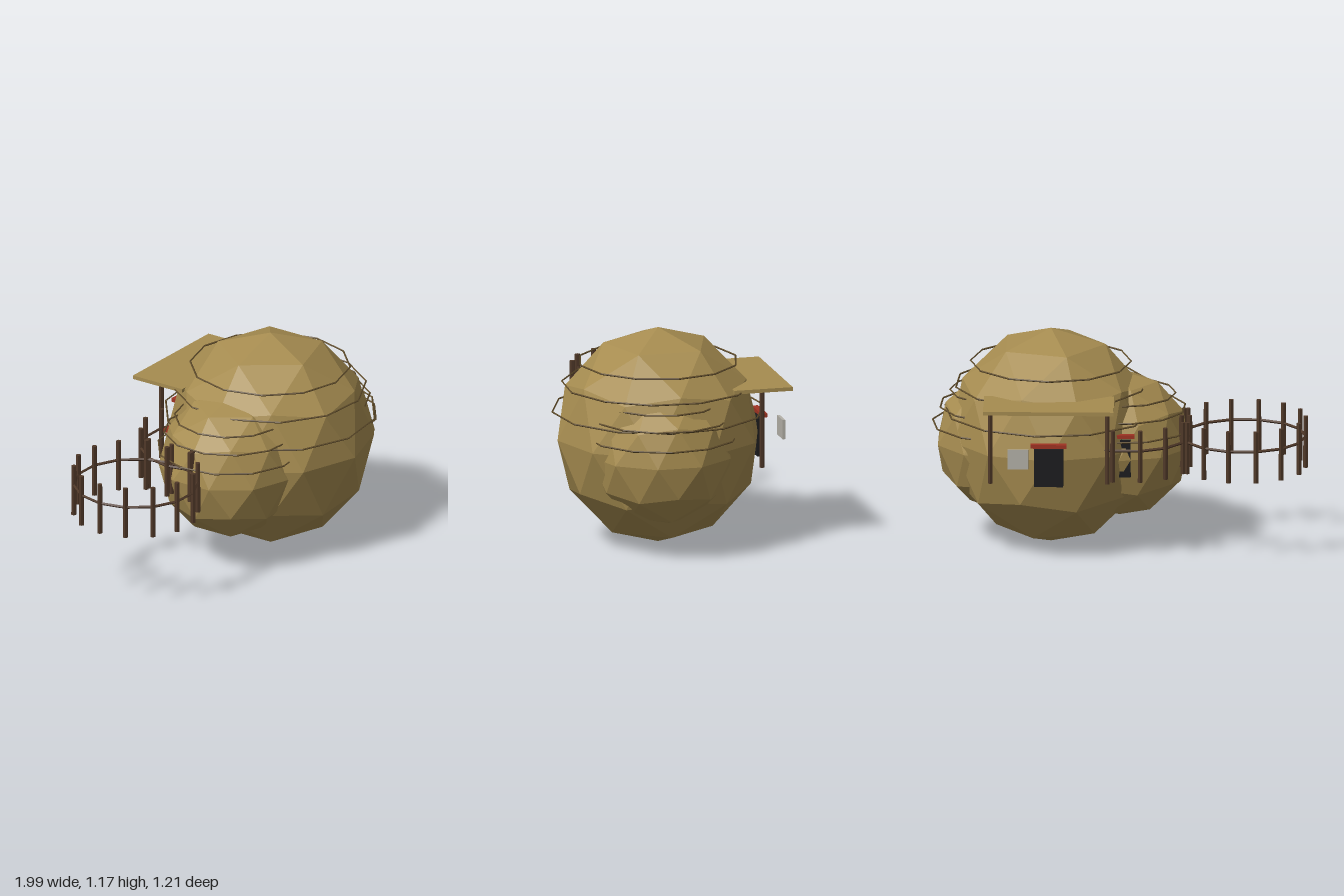
import * as THREE from 'three';

const mat = (name, color) => {
  const m = new THREE.MeshStandardMaterial({ color, flatShading: true });
  m.name = name;
  return m;
};

export function createModel() {
  const straw = mat('straw', 0xa68c50);
  const rope = mat('rope', 0x5e4b2a);
  const wood = mat('dark wood', 0x4f3828);
  const black = mat('door black', 0x1c1c1e);
  const red = mat('lintel red', 0xa03322);
  const grey = mat('sign grey', 0xb4b1a8);

  const model = new THREE.Group();
  model.name = 'thatchedHut';

  const add = (name, geometry, material, x, y, z, parent = model) => {
    const mesh = new THREE.Mesh(geometry, material);
    mesh.name = name;
    mesh.position.set(x, y, z);
    parent.add(mesh);
    return mesh;
  };
  const box = (name, material, w, h, d, x, y, z) =>
    add(name, new THREE.BoxGeometry(w, h, d), material, x, y, z);
  const ring = (name, radius, tube, sides, material, x, y, z, parent) =>
    add(name, new THREE.TorusGeometry(radius, tube, 4, sides).rotateX(Math.PI / 2), material, x, y, z, parent);

  // Faceted domes, each standing on one corner, with rope hoops [height, radius]
  const domes = [
    { name: 'mainDome', c: [0.365, 0.583, 0.04], r: 0.55, h: 0.583,
      hoops: [[0.985, 0.425], [0.865, 0.51], [0.723, 0.565]] },
    { name: 'rightDome', c: [0, 0.54, 0.04], r: 0.378, h: 0.393,
      hoops: [[0.815, 0.295], [0.735, 0.35], [0.64, 0.388]] },
    { name: 'leftDome', c: [0.59, 0.54, 0.08], r: 0.39, h: 0.39,
      hoops: [[0.815, 0.31], [0.735, 0.367], [0.637, 0.405]] },
  ];
  for (const { name, c, r, h, hoops } of domes) {
    const geo = new THREE.IcosahedronGeometry(1, 1)
      .rotateZ(Math.atan2(2, 1 + Math.sqrt(5)))
      .scale(r, h, r);
    add(name, geo, straw, ...c);
    hoops.forEach(([y, radius], i) => {
      const hoop = ring(name + 'Hoop', radius, 0.005, 12, rope, c[0], y, c[2]);
      hoop.rotation.y = i * 0.2;
    });
  }

  // Round fences: a rail with posts spaced along it
  const fence = (x, z) => {
    const group = new THREE.Group();
    group.name = 'fence';
    group.position.set(x, 0, z);
    model.add(group);
    ring('fenceRail', 0.328, 0.008, 14, wood, 0, 0.62, 0, group);
    const post = new THREE.CylinderGeometry(0.014, 0.015, 0.28, 6);
    for (let i = 0; i < 14; i++) {
      const a = (i / 14) * Math.PI * 2;
      add('fencePost', post, wood, Math.cos(a) * 0.328, 0.59, Math.sin(a) * 0.328, group);
    }
  };
  fence(-0.657, -0.105);
  fence(-0.045, -0.105);

  // Flat porch roof on two posts
  box('porchRoof', straw, 0.69, 0.02, 0.32, 0.365, 0.87, -0.445);
  for (const s of [-1, 1]) {
    add('porchPost', new THREE.CylinderGeometry(0.014, 0.014, 0.415, 6), wood, 0.365 + s * 0.31, 0.6525, -0.445);
  }

  // Doors with lintels
  box('mainDoor', black, 0.155, 0.205, 0.034, 0.365, 0.5475, -0.499);
  box('mainLintel', red, 0.19, 0.02, 0.034, 0.365, 0.67, -0.516);
  box('sideDoor', black, 0.13, 0.205, 0.034, 0, 0.5475, -0.3);
  box('sideLintel', red, 0.17, 0.02, 0.034, 0, 0.67, -0.314);

  // Hanging sign beside the main door
  box('sign', grey, 0.11, 0.105, 0.015, 0.525, 0.6175, -0.592);

  return model;
}
